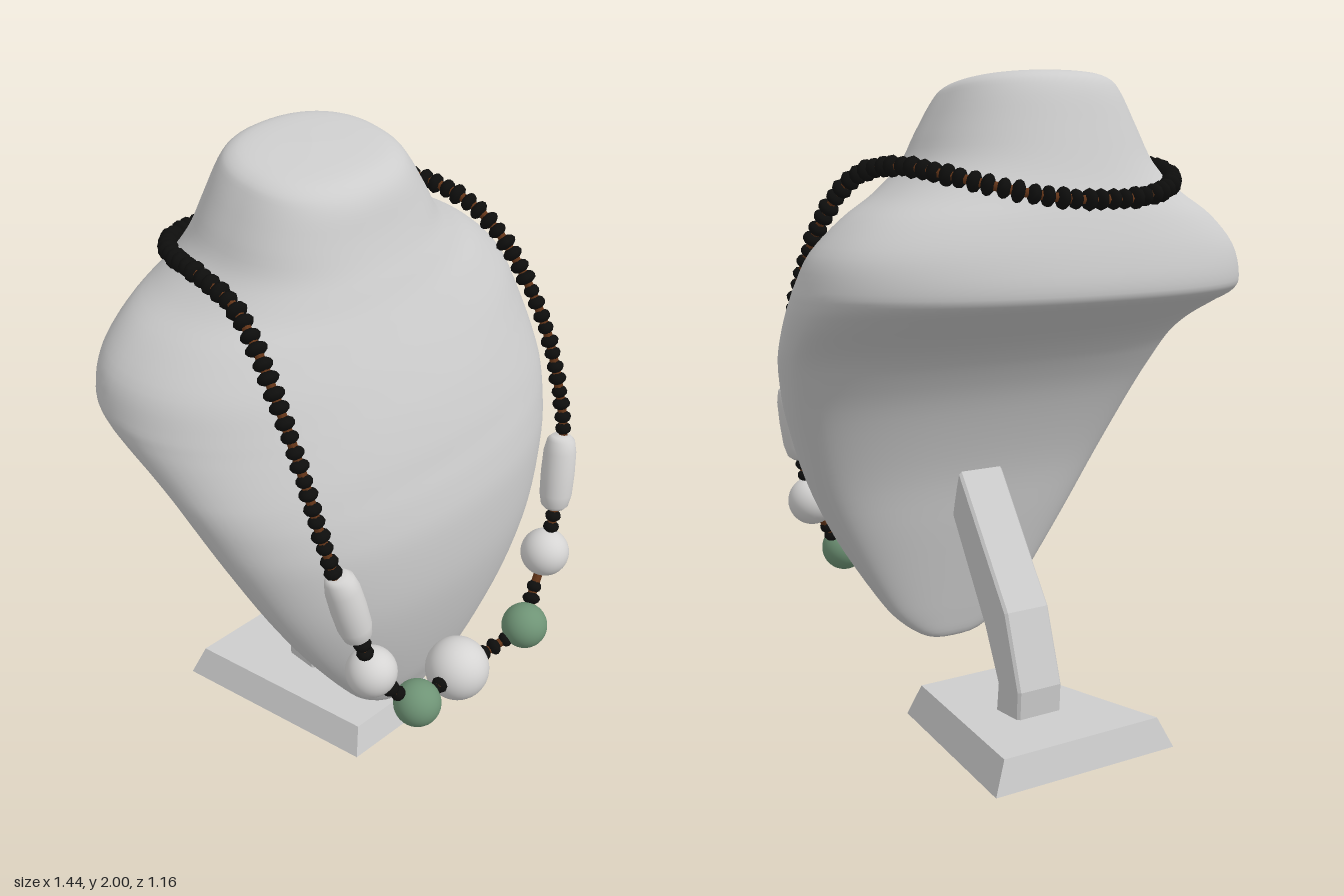
import * as THREE from 'three';
import { mergeGeometries } from 'three/addons/utils/BufferGeometryUtils.js';

const mat = (name, color) => {
  const m = new THREE.MeshStandardMaterial({ color });
  m.name = name;
  return m;
};
const V = (x, y, z) => new THREE.Vector3(x, y, z);

// Bust sections, bottom to top: [height, half width, z of widest point, front z, back z]
const SECTIONS = [
  [0.215, 0.001, 0.25, 0.251, 0.249],
  [0.232, 0.10, 0.25, 0.275, 0.225],
  [0.30, 0.20, 0.25, 0.305, 0.205],
  [0.40, 0.285, 0.25, 0.345, 0.18],
  [0.60, 0.42, 0.245, 0.40, 0.13],
  [0.80, 0.53, 0.21, 0.435, 0.08],
  [1.00, 0.617, 0.145, 0.437, 0.00],
  [1.12, 0.66, 0.09, 0.415, -0.07],
  [1.20, 0.685, 0.04, 0.39, -0.14],
  [1.26, 0.70, -0.02, 0.372, -0.25],
  [1.32, 0.714, -0.09, 0.35, -0.42],
  [1.365, 0.72, -0.14, 0.332, -0.55],
  [1.41, 0.716, -0.17, 0.312, -0.575],
  [1.50, 0.68, -0.19, 0.268, -0.56],
  [1.59, 0.585, -0.20, 0.22, -0.53],
  [1.66, 0.47, -0.19, 0.183, -0.50],
  [1.74, 0.375, -0.17, 0.147, -0.465],
  [1.83, 0.325, -0.16, 0.114, -0.43],
  [1.92, 0.275, -0.16, 0.085, -0.395],
  [1.962, 0.24, -0.16, 0.05, -0.36],
  [1.98, 0.17, -0.16, -0.01, -0.30],
  [1.986, 0.001, -0.16, -0.159, -0.161],
];

// Smooth loft: rounded front, flatter back below the shoulders, squarer neck
function bustGeometry() {
  const a = new THREE.CatmullRomCurve3(SECTIONS.map(s => V(s[0], s[1], s[2])), false, 'catmullrom');
  const b = new THREE.CatmullRomCurve3(SECTIONS.map(s => V(s[0], s[3], s[4])), false, 'catmullrom');
  const { lerp, clamp, smoothstep } = THREE.MathUtils;
  const rows = 84, cols = 80, pos = [], idx = [];
  for (let i = 0; i <= rows; i++) {
    const p = a.getPoint(i / rows), q = b.getPoint(i / rows);
    const tilt = 0.12 * clamp((p.x - 1.7) / 0.25, 0, 1);
    const backPower = lerp(2.9, 2.2, smoothstep(p.x, 1.1, 1.4));
    const frontPower = lerp(2.05, 2.4, smoothstep(p.x, 1.5, 1.85));
    for (let j = 0; j < cols; j++) {
      const t = (j / cols) * Math.PI * 2, c = Math.cos(t), s = Math.sin(t);
      const e = 2 / (s > 0 ? frontPower : backPower);
      const x = Math.max(p.y, 0.001) * Math.sign(c) * Math.abs(c) ** e;
      const z = p.z + (s > 0 ? q.y - p.z : p.z - q.z) * Math.sign(s) * Math.abs(s) ** e;
      pos.push(x, p.x - tilt * (z + 0.16), z);
      if (i < rows) {
        const k = i * cols + j, n = i * cols + (j + 1) % cols;
        idx.push(k, k + cols, n, n, k + cols, n + cols);
      }
    }
  }
  const g = new THREE.BufferGeometry();
  g.setAttribute('position', new THREE.Float32BufferAttribute(pos, 3));
  g.setIndex(idx);
  g.computeVertexNormals();
  return g;
}

// Tapered plinth, much wider at the back
function baseGeometry() {
  const g = new THREE.BoxGeometry(2, 0.095, 2).toNonIndexed();
  const p = g.attributes.position;
  for (let i = 0; i < p.count; i++) {
    const top = p.getY(i) > 0, front = p.getZ(i) > 0;
    const hw = front ? (top ? 0.16 : 0.195) : (top ? 0.28 : 0.325);
    const z = front ? (top ? 0.185 : 0.215) : (top ? -0.45 : -0.475);
    p.setXYZ(i, Math.sign(p.getX(i)) * hw, top ? 0.095 : 0, z);
  }
  g.computeVertexNormals();
  return g;
}

// Bent prop, drawn in the (z, y) plane and extruded sideways
function propGeometry() {
  const outline = [[-0.115, 0.08], [-0.235, 0.08], [-0.24, 0.18], [-0.17, 0.41], [0.08, 0.8],
    [0.15, 0.8], [0.15, 0.7], [-0.055, 0.34], [-0.125, 0.18]];
  const shape = new THREE.Shape(outline.map(([z, y]) => new THREE.Vector2(-z, y)));
  const g = new THREE.ExtrudeGeometry(shape, {
    depth: 0.144, bevelThickness: 0.008, bevelSize: 0.008, bevelOffset: -0.008, bevelSegments: 1,
  });
  return g.translate(0, 0, -0.072).rotateY(Math.PI / 2);
}

export function createModel() {
  const root = new THREE.Group();
  const grey = mat('display grey', 0xcccccc);
  const pale = mat('pale bead', 0xd5d4d3);
  const green = mat('green bead', 0x6f9476);
  const black = mat('black bead', 0x0e0e0d);
  const brown = mat('brown cord', 0x643518);
  const add = (parent, name, geo, material) => {
    const m = new THREE.Mesh(geo, material);
    m.name = name;
    parent.add(m);
    return m;
  };

  add(root, 'bust', bustGeometry(), grey);
  add(root, 'base', baseGeometry(), grey);
  add(root, 'prop', propGeometry(), grey);

  const necklace = new THREE.Group();
  necklace.name = 'necklace';
  necklace.position.x = 0.01;
  root.add(necklace);

  // Cord path: one half from the nape to the front, then mirrored
  const half = [[0.1, 1.65, -0.535], [0.22, 1.665, -0.505], [0.32, 1.69, -0.435], [0.385, 1.715, -0.33],
    [0.425, 1.735, -0.18], [0.447, 1.715, 0], [0.467, 1.655, 0.1], [0.485, 1.55, 0.195],
    [0.497, 1.38, 0.3], [0.495, 1.2, 0.37], [0.482, 1.07, 0.41], [0.42, 0.82, 0.45],
    [0.382, 0.68, 0.46], [0.32, 0.58, 0.475], [0.243, 0.493, 0.505], [0.13, 0.445, 0.475]];
  const pts = [V(0, 1.648, -0.54), ...half.map(p => V(...p)), V(0, 0.43, 0.455),
    ...half.slice().reverse().map(([x, y, z]) => V(-x, y, z))];
  const path = new THREE.CatmullRomCurve3(pts, true);
  add(necklace, 'cord', new THREE.TubeGeometry(path, 260, 0.014, 6, true), brown);

  // Large round beads
  const big = [{ c: V(0, 0.43, 0.45), r: 0.1, m: pale, n: 'centreBead' }];
  for (const s of [1, -1]) {
    big.push({ c: V(s * 0.243, 0.493, 0.51), r: 0.072, m: green, n: 'greenBead' });
    big.push({ c: V(s * 0.384, 0.68, 0.457), r: 0.076, m: pale, n: 'paleBead' });
  }
  for (const b of big) add(necklace, b.n, new THREE.SphereGeometry(b.r, 32, 20), b.m).position.copy(b.c);

  // Long barrel beads
  const up = V(0, 1, 0);
  for (const s of [1, -1]) {
    const profile = [[0.001, -0.122], [0.03, -0.12], [0.042, -0.108], [0.05, -0.07], [0.052, 0],
      [0.05, 0.07], [0.042, 0.108], [0.03, 0.12], [0.001, 0.122]];
    const barrel = add(necklace, 'barrelBead',
      new THREE.LatheGeometry(profile.map(p => new THREE.Vector2(...p)), 24), pale);
    barrel.position.set(s * 0.448, 0.945, 0.43);
    barrel.quaternion.setFromUnitVectors(up, V(s * 0.05, 0.25, -0.035).normalize());
  }

  // Black disc beads threaded in pairs, leaving a little cord showing between pairs
  const count = Math.round(path.getLength() / 0.081), discs = [];
  for (let i = 0; i < count * 2; i++) {
    const u = (Math.floor(i / 2) + (i % 2 ? 0.72 : 0.25)) / count, p = path.getPointAt(u);
    const onBarrel = p.y > 0.83 && p.y < 1.06;
    if (onBarrel || big.some(b => p.distanceTo(b.c) < b.r)) continue;
    const r = (p.y > 1.5 ? 0.03 : 0.026) + 0.002 * Math.sin(i * 2.4);
    const g = new THREE.SphereGeometry(1, 10, 6).scale(r, 0.0195, r);
    const q = new THREE.Quaternion().setFromUnitVectors(up, path.getTangentAt(u));
    discs.push(g.applyQuaternion(q).translate(p.x, p.y, p.z));
  }
  add(necklace, 'discBeads', mergeGeometries(discs), black);
  return root;
}
